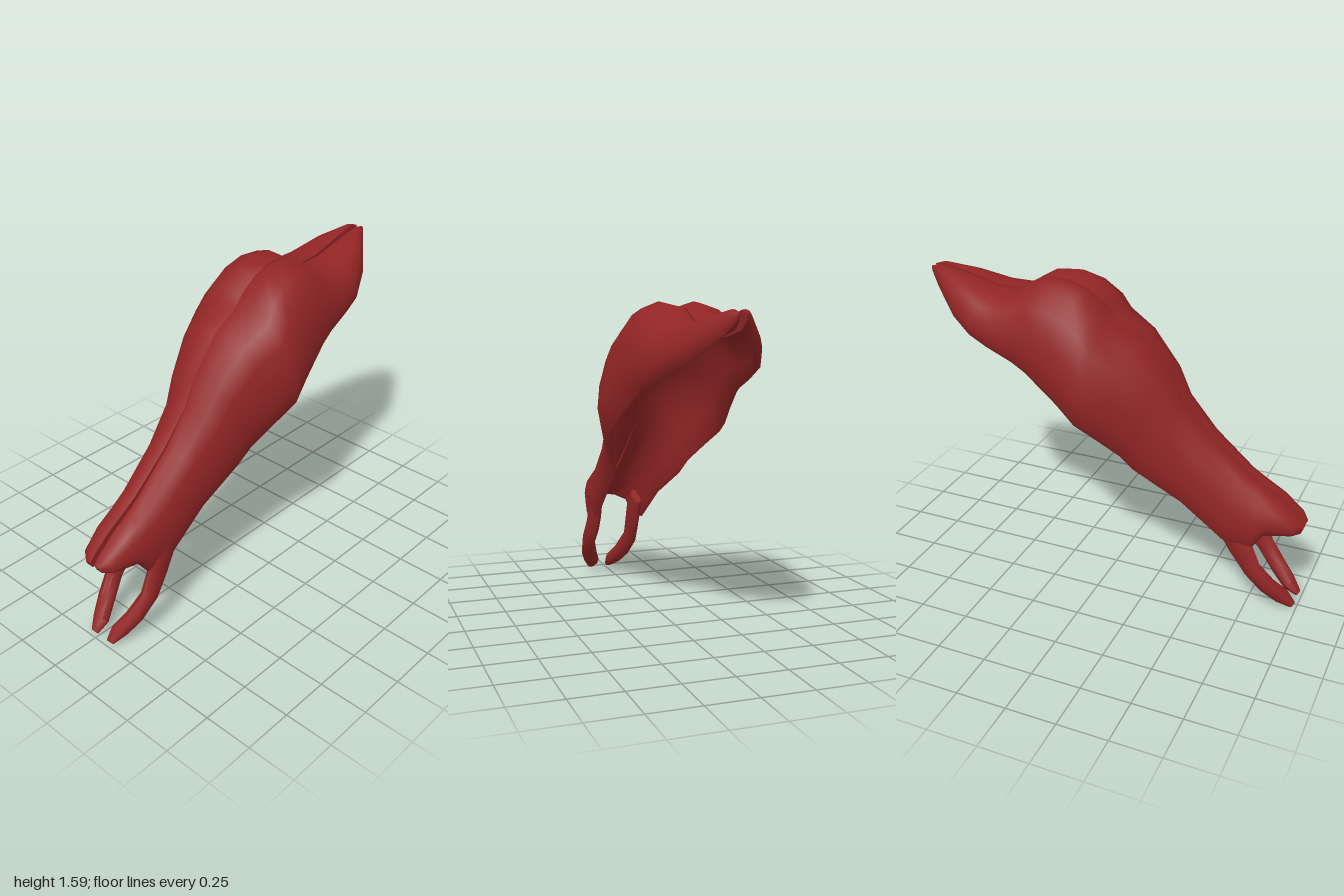
import * as THREE from 'three';
import { toCreasedNormals } from 'three/addons/utils/BufferGeometryUtils.js';

// Skull stations, snout to nape: top z, top y, rim z, rim y, half width, hollowness, dip of the midline
const STATIONS = [
  [1.0, 0.475, 0.985, 0.44, 0.055, 0, 0],
  [0.97, 0.51, 0.95, 0.44, 0.1, 0.3, 0],
  [0.87, 0.59, 0.82, 0.43, 0.135, 0.75, 0],
  [0.78, 0.645, 0.77, 0.36, 0.15, 0.95, 0],
  [0.7, 0.7, 0.62, 0.37, 0.157, 1, 0],
  [0.5, 0.87, 0.4, 0.55, 0.175, 1, 0],
  [0.36, 1.03, 0.17, 0.69, 0.21, 1, 0],
  [0.29, 1.17, 0.1, 0.77, 0.238, 1, 0],
  [0.14, 1.34, 0, 0.86, 0.293, 1, 0],
  [0.0, 1.42, -0.1, 0.94, 0.34, 1, 0],
  [-0.04, 1.49, -0.2, 1.03, 0.325, 1, 0.04],
  [-0.13, 1.56, -0.3, 1.1, 0.305, 1, 0.05],
  [-0.24, 1.59, -0.37, 1.15, 0.29, 1, 0.04],
  [-0.35, 1.58, -0.45, 1.19, 0.275, 1, 0.03],
  [-0.5, 1.49, -0.6, 1.24, 0.25, 1, 0],
  [-0.63, 1.49, -0.7, 1.285, 0.235, 0.9, 0],
  [-0.8, 1.53, -0.8, 1.34, 0.18, 0.65, 0],
  [-0.95, 1.56, -0.94, 1.45, 0.07, 0.25, 0],
  [-1.0, 1.545, -0.99, 1.51, 0.03, 0, 0],
];

// Half cross-section: fraction of width, fraction of depth (outside, rim, then the hollow)
const OUTSIDE = [[0, 0.02], [0.3, 0], [0.61, 0.075], [0.83, 0.245], [0.95, 0.49], [1, 0.72], [0.95, 0.92], [0.86, 1]];
const HOLLOW = [[0.78, 0.95], [0.74, 0.74], [0.66, 0.5], [0.5, 0.31], [0.27, 0.21], [0, 0.19]];

// Front prong, tip to root: offset from the midline, y, z, radius across, radius through
const PRONG = [
  [0.055, 0.014, 0.98, 0.022, 0.016],
  [0.067, 0.06, 0.925, 0.045, 0.038],
  [0.1, 0.125, 0.855, 0.045, 0.043],
  [0.125, 0.22, 0.775, 0.036, 0.05],
  [0.117, 0.32, 0.71, 0.033, 0.065],
  [0.115, 0.41, 0.67, 0.03, 0.08],
  [0.115, 0.49, 0.62, 0.025, 0.06],
];

// The midline drifts slightly to one side, and the two halves part at both ends
const midline = (z) => (z > 0 ? 0.027 * z : 0.015 * z);
const gap = (z) => (z > 0 ? 0.014 * Math.max(0, z - 0.3) / 0.7 : 0.016 * Math.max(0, -z - 0.1) / 0.9);

// Joins closed rings of points into a capped solid
function loft(rings, flip) {
  const n = rings[0].length, pos = rings.flat(2), index = [];
  const tri = (a, b, c) => (flip ? index.push(a, c, b) : index.push(a, b, c));
  for (let i = 0; i < rings.length - 1; i++) {
    for (let j = 0; j < n; j++) {
      const a = i * n + j, b = i * n + ((j + 1) % n);
      tri(a, b, a + n);
      tri(b, b + n, a + n);
    }
  }
  [0, rings.length - 1].forEach((r, end) => {
    const centre = pos.length / 3;
    for (let k = 0; k < 3; k++) pos.push(rings[r].reduce((s, p) => s + p[k], 0) / n);
    for (let j = 0; j < n; j++) {
      const a = r * n + j, b = r * n + ((j + 1) % n);
      if (end) tri(centre, a, b);
      else tri(centre, b, a);
    }
  });
  const geo = new THREE.BufferGeometry();
  geo.setAttribute('position', new THREE.Float32BufferAttribute(pos, 3));
  geo.setIndex(index);
  return toCreasedNormals(geo, 0.9);
}

function skullHalf(side) {
  const rings = STATIONS.map(([tz, ty, bz, by, w, hollow, dip]) => {
    const section = [
      ...OUTSIDE.map(([u, t], i) => [u, t + (i === 0 ? dip : 0)]),
      ...HOLLOW.map(([u, t]) => [u, 1 - (1 - t) * hollow]),
    ];
    return section.map(([u, t]) => {
      const z = tz + (bz - tz) * t, y = ty + (by - ty) * t, g = gap(z);
      return [midline(z) + side * (g + (w - g) * u), y, z];
    });
  });
  return loft(rings, side < 0);
}

function prong(side) {
  const sides = 8;
  const rings = PRONG.map(([dx, y, z, rx, rn], i) => {
    const a = PRONG[Math.max(0, i - 1)], b = PRONG[Math.min(PRONG.length - 1, i + 1)];
    const len = Math.hypot(b[1] - a[1], b[2] - a[2]);
    const ny = -(b[2] - a[2]) / len, nz = (b[1] - a[1]) / len;
    return Array.from({ length: sides }, (_, k) => {
      const t = (k / sides) * Math.PI * 2, c = Math.cos(t) * rn;
      return [0.03 + side * (dx + Math.sin(t) * rx), y + ny * c, z + nz * c];
    });
  });
  return loft(rings, side < 0);
}

export function createModel() {
  const model = new THREE.Group();
  model.name = 'skull';
  const bone = new THREE.MeshStandardMaterial({ color: 0x922525 });
  bone.name = 'dark red';
  for (const [label, side] of [['left', 1], ['right', -1]]) {
    const half = new THREE.Mesh(skullHalf(side), bone);
    half.name = label + 'SkullHalf';
    const tip = new THREE.Mesh(prong(side), bone);
    tip.name = label + 'FrontProng';
    model.add(half, tip);
  }
  return model;
}
